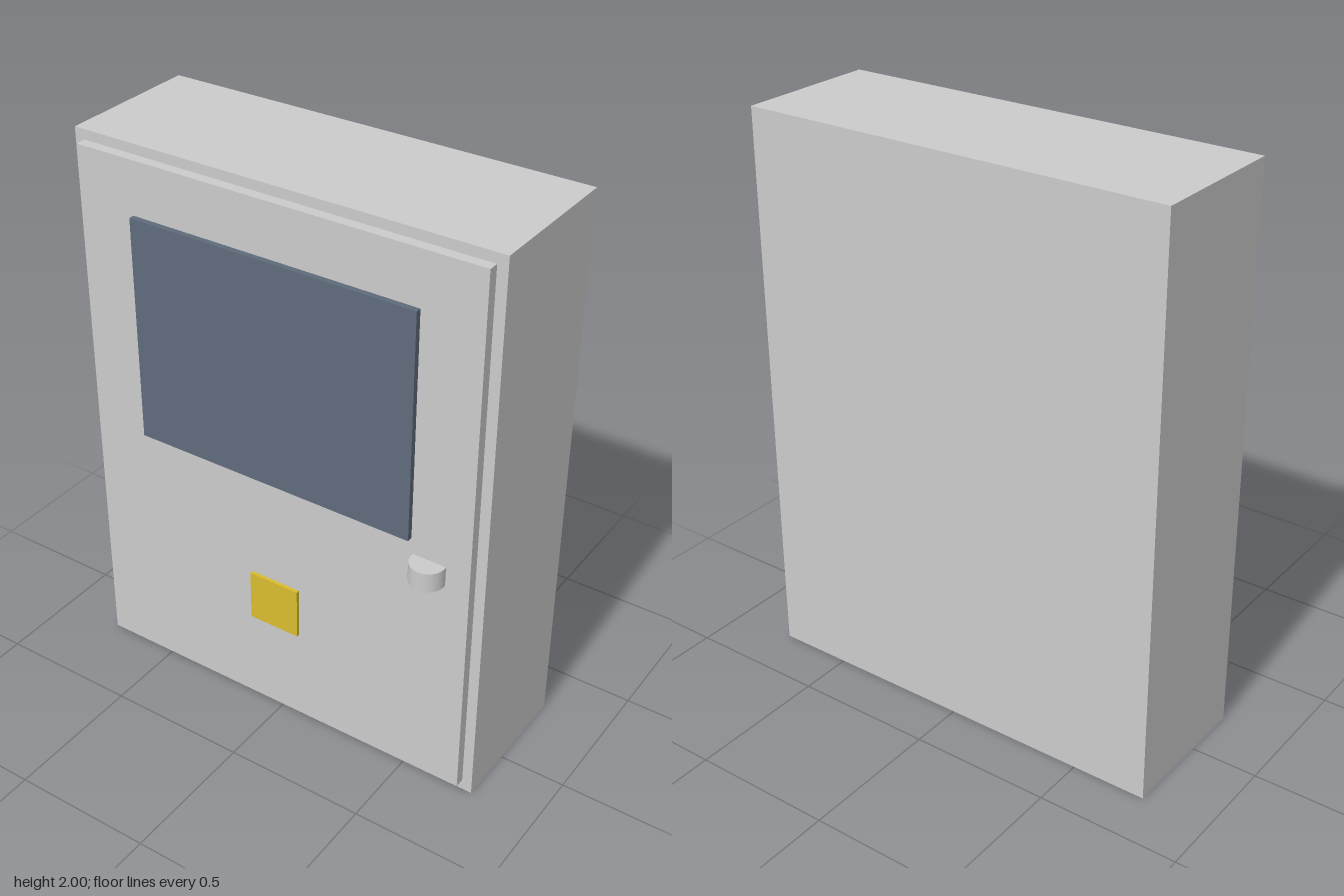
import * as THREE from 'three';

const material = (color) => new THREE.MeshStandardMaterial({ color });

export function createModel() {
  const group = new THREE.Group();
  const grey = material(0xcccccc);

  const add = (name, geometry, mat, x, y, z) => {
    const mesh = new THREE.Mesh(geometry, mat);
    mesh.name = name;
    mesh.position.set(x, y, z);
    group.add(mesh);
  };

  // Box centred on x = 0, given by its width, height range and depth range
  const panel = (name, width, y0, y1, z0, z1, mat) =>
    add(name, new THREE.BoxGeometry(width, y1 - y0, z1 - z0), mat, 0, (y0 + y1) / 2, (z0 + z1) / 2);

  // Cabinet body and the raised door
  panel('cabinet', 1.53, 0, 2, -0.311, 0.205, grey);
  panel('door', 1.458, 0.04, 1.965, 0.205, 0.241, grey);

  // Window and warning plate mounted on the door
  panel('window', 1.036, 0.978, 1.778, 0.241, 0.261, material(0x5f6b7b));
  panel('warningPlate', 0.19, 0.39, 0.578, 0.241, 0.253, material(0xd9bd30));

  // Upright round latch, half sunk into the door
  add('latch', new THREE.CylinderGeometry(0.06, 0.06, 0.07, 24), grey, 0.585, 0.885, 0.251);

  return group;
}
